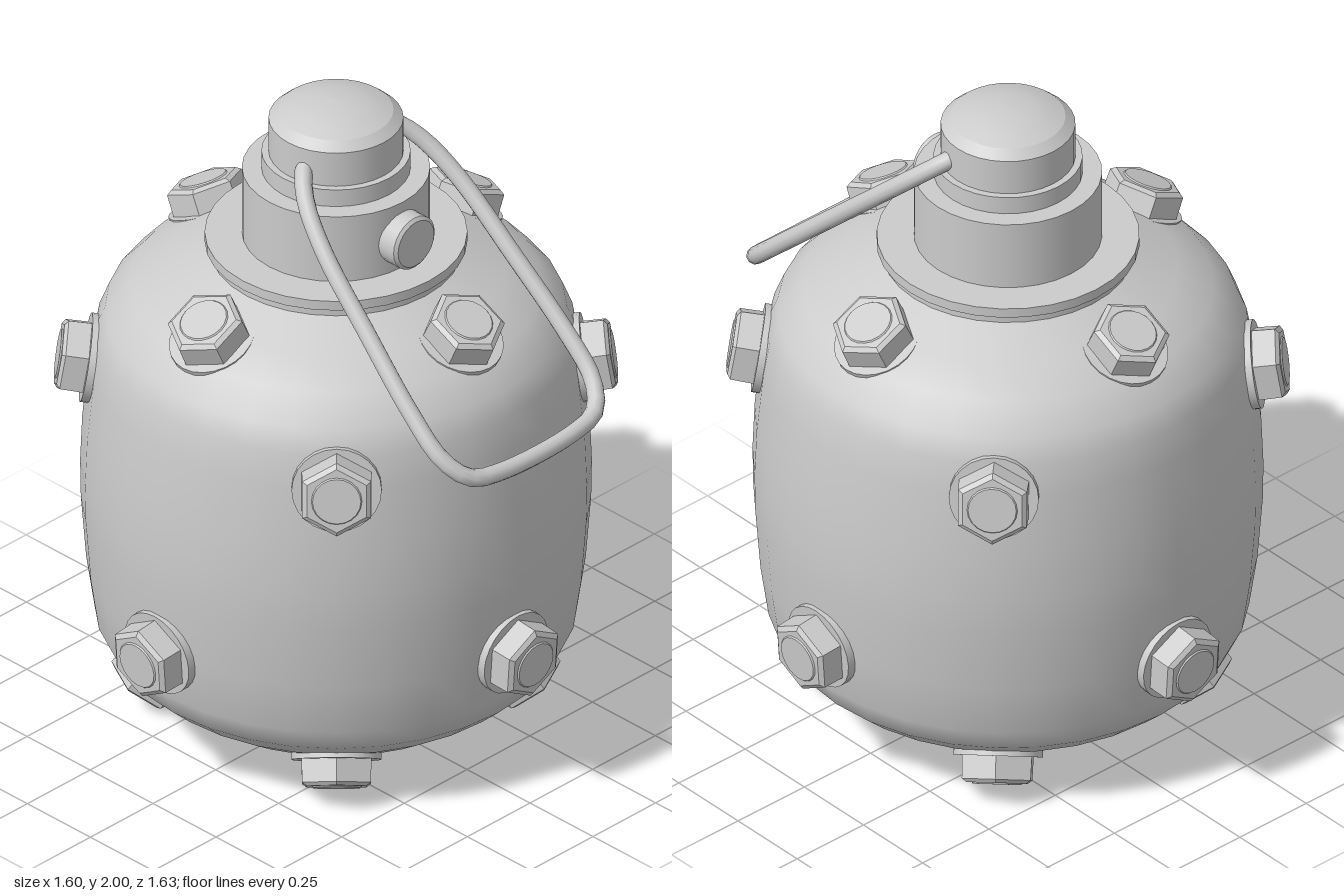
import * as THREE from 'three';

const mat = new THREE.MeshStandardMaterial({ color: 0xcccccc });
const flat = new THREE.MeshStandardMaterial({ color: 0xcccccc, flatShading: true });

function add(parent, name, geometry, material = mat) {
  const mesh = new THREE.Mesh(geometry, material);
  mesh.name = name;
  parent.add(mesh);
  return mesh;
}

const lathe = (pts, sides) =>
  new THREE.LatheGeometry(pts.map(([r, y]) => new THREE.Vector2(r, y)), sides);

// Cylinder (or cone) spanning y0..y1
function ring(parent, name, r0, r1, y0, y1, sides = 32, material = mat) {
  const mesh = add(parent, name, new THREE.CylinderGeometry(r1, r0, y1 - y0, sides), material);
  mesh.position.y = (y0 + y1) / 2;
  return mesh;
}

// Hex bolt on a washer, built along +y with its corners in the meridian plane
function makeBolt() {
  const bolt = new THREE.Group();
  bolt.name = 'bolt';
  ring(bolt, 'washer', 0.127, 0.127, -0.03, 0.012, 24);
  ring(bolt, 'boltHead', 0.114, 0.112, 0, 0.078, 6, flat);
  ring(bolt, 'boltChamfer', 0.112, 0.097, 0.078, 0.088, 6, flat);
  ring(bolt, 'boltCrown', 0.073, 0.068, 0.086, 0.092, 20);
  return bolt;
}

export function createModel() {
  const model = new THREE.Group();
  model.name = 'boltedCanister';
  const canister = new THREE.Group();
  canister.name = 'canister';
  canister.position.z = -0.02;
  model.add(canister);

  // Rounded barrel body
  add(canister, 'body', lathe([
    [0.36, 0.05], [0.48, 0.115], [0.58, 0.185], [0.645, 0.245], [0.68, 0.32], [0.703, 0.48],
    [0.718, 0.68], [0.72, 0.8], [0.714, 0.95], [0.695, 1.14], [0.678, 1.24],
    [0.65, 1.31], [0.58, 1.39], [0.48, 1.445], [0.34, 1.51],
  ], 32));
  const base = add(canister, 'bodyBase', new THREE.CircleGeometry(0.36, 32));
  base.rotation.x = Math.PI / 2;
  base.position.y = 0.05;

  // Flange, stepped neck and cap
  ring(canister, 'flangeFoot', 0.355, 0.355, 1.46, 1.53);
  ring(canister, 'flange', 0.37, 0.37, 1.53, 1.56);
  ring(canister, 'neck', 0.265, 0.265, 1.56, 1.775);
  ring(canister, 'neckStep', 0.21, 0.21, 1.775, 1.83);
  ring(canister, 'cap', 0.19, 0.19, 1.83, 1.94);
  ring(canister, 'capBevel', 0.19, 0.162, 1.94, 1.965);
  add(canister, 'capDome', lathe(
    [[0.162, 1.965], [0.125, 1.98], [0.085, 1.992], [0.04, 1.998], [0, 2]], 32));

  // Front button on the neck
  const button = new THREE.Group();
  button.name = 'button';
  button.position.set(0, 1.66, 0);
  button.rotation.x = Math.PI / 2;
  ring(button, 'buttonStem', 0.082, 0.082, 0.2, 0.31, 24);
  ring(button, 'buttonFace', 0.082, 0.072, 0.31, 0.318, 24);
  canister.add(button);

  // Four rows of four bolts: [radius, height, elevation, azimuth offset]
  const rows = [
    [0.49, 1.42, 65, 0],
    [0.692, 1.14, 9, 45],
    [0.703, 0.476, -4, 0],
    [0.495, 0.128, -55, 45],
  ];
  for (const [radius, height, elevation, offset] of rows) {
    for (let i = 0; i < 4; i++) {
      const azimuth = THREE.MathUtils.degToRad(offset + i * 90);
      const bolt = makeBolt();
      bolt.rotation.order = 'YXZ';
      bolt.rotation.set(THREE.MathUtils.degToRad(90 - elevation), azimuth, 0);
      bolt.position.set(radius * Math.sin(azimuth), height, radius * Math.cos(azimuth));
      canister.add(bolt);
    }
  }

  // Bail handle: a flat loop leaning forward from the cap
  const half = [[0.15, 1.88], [0.185, 1.865], [0.235, 1.81], [0.272, 1.71], [0.292, 1.54],
    [0.308, 1.36], [0.3, 1.255], [0.25, 1.2], [0.15, 1.182]];
  const loop = [...half, ...half.map(([x, y]) => [-x, y]).reverse()]
    .map(([x, y]) => new THREE.Vector3(x, y, 0.03 + (1.87 - y) * 1.088));
  const path = new THREE.CatmullRomCurve3(loop);
  add(model, 'handle', new THREE.TubeGeometry(path, 64, 0.026, 10));

  return model;
}
